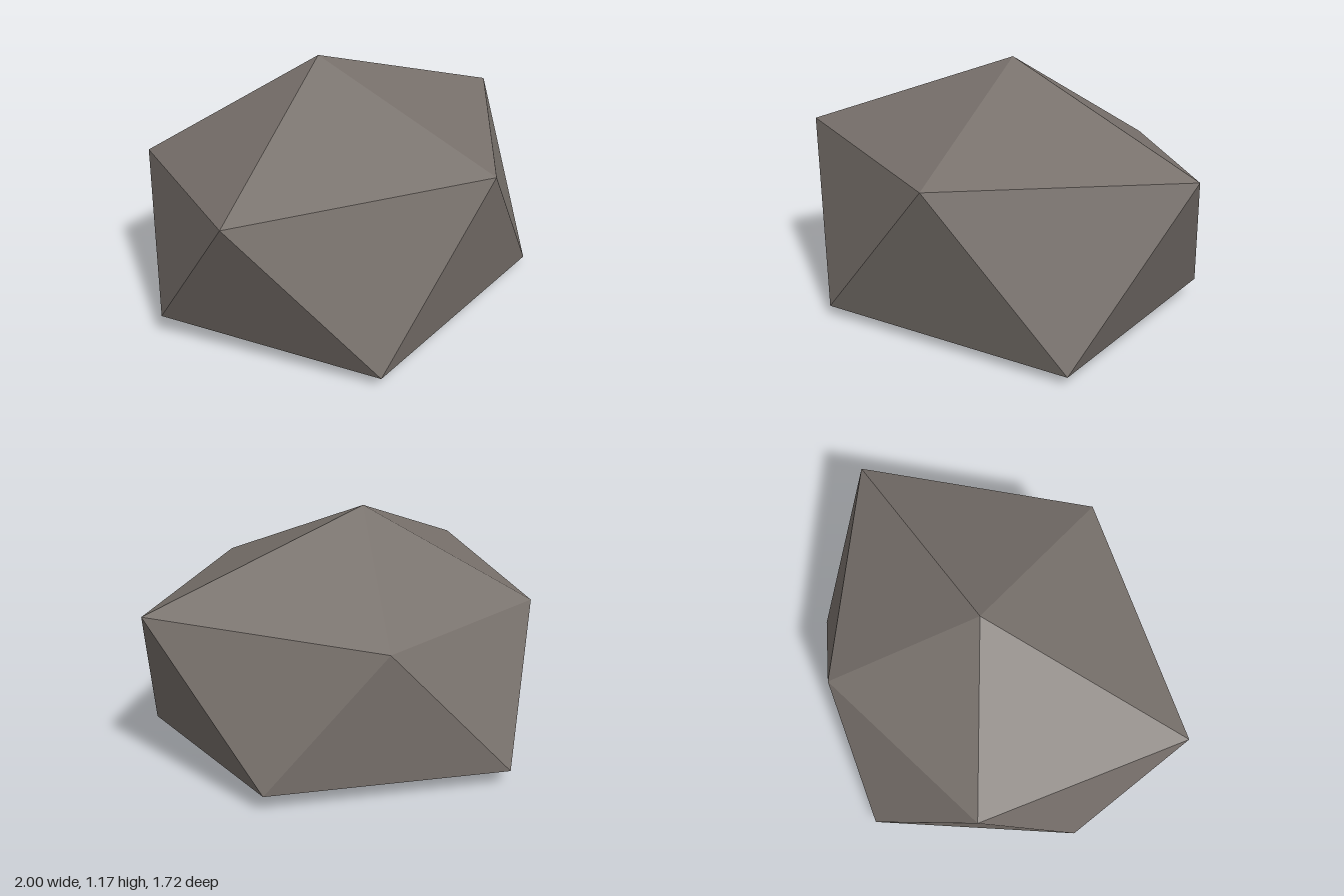
import * as THREE from 'three';

export function createModel() {
  const group = new THREE.Group();
  group.name = 'boulder';

  const stone = new THREE.MeshStandardMaterial({ color: 0x78716c });
  stone.name = 'warm grey stone';
  stone.flatShading = true;

  // A squashed icosahedron: two poles and two staggered rings of five corners
  const top = [-0.1, 1.175, -0.04];
  const bottom = [-0.1, 0, -0.04];
  const upper = [
    [1, 0.81, -0.04], [0.22, 0.79, 0.82], [-0.98, 0.805, 0.515],
    [-0.78, 0.725, -0.48], [0.155, 0.71, -0.72],
  ];
  const lower = [
    [0.79, 0.04, 0.53], [-0.44, 0.05, 0.86], [-1, 0.11, -0.04],
    [-0.41, 0.08, -0.86], [0.675, 0.09, -0.54],
  ];

  // Cap, side band and underside, one sector at a time
  const points = [];
  for (let k = 0; k < 5; k++) {
    const n = (k + 1) % 5;
    points.push(top, upper[n], upper[k]);
    points.push(upper[k], upper[n], lower[k]);
    points.push(lower[k], upper[n], lower[n]);
    points.push(bottom, lower[k], lower[n]);
  }

  const geometry = new THREE.BufferGeometry();
  geometry.setAttribute('position', new THREE.Float32BufferAttribute(points.flat(), 3));
  geometry.computeVertexNormals();

  const rock = new THREE.Mesh(geometry, stone);
  rock.name = 'rock';
  group.add(rock);
  return group;
}
